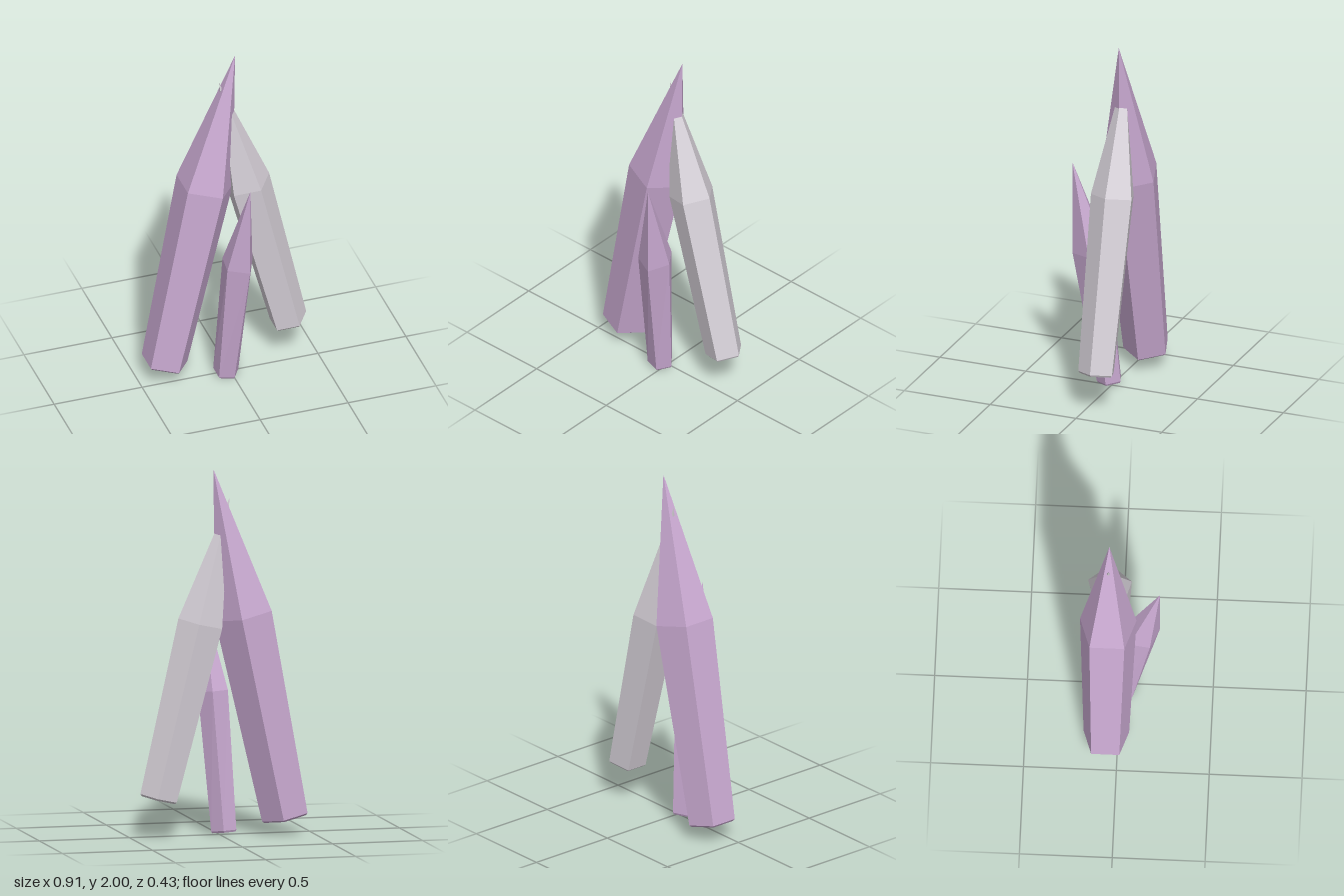
import * as THREE from 'three';

const SIDES = 5;

// Regular pentagon as [x, z] corners around a centre
function pentagon(cx, cz, r, phase) {
  return Array.from({ length: SIDES }, (_, i) => {
    const a = phase + (i / SIDES) * Math.PI * 2;
    return [cx + r * Math.cos(a), cz + r * Math.sin(a)];
  });
}

function centreOf(points, y) {
  const c = new THREE.Vector3(0, y, 0);
  for (const [x, z] of points) {
    c.x += x / SIDES;
    c.z += z / SIDES;
  }
  return c;
}

// Leaning crystal: chamfered foot, tapered shaft and pointed tip.
// Both rings are tilted square to the shaft's axis.
function crystalGeometry(foot, footY, shoulder, shoulderY, tip) {
  const c0 = centreOf(foot, footY);
  const c1 = centreOf(shoulder, shoulderY);
  const axis = c1.clone().sub(c0).normalize();
  const tilt = (points, c) => points.map(([x, z]) => new THREE.Vector3(
    x, c.y - (axis.x * (x - c.x) + axis.z * (z - c.z)) / axis.y, z));

  const footRing = tilt(foot, c0);
  const chamfer = footRing.map((p) => p.clone().lerp(c0, 0.09).addScaledVector(axis, -0.01));
  const bottom = c0.clone().addScaledVector(axis, -0.01);
  const layers = [
    Array(SIDES).fill(bottom), chamfer, footRing, tilt(shoulder, c1),
    Array(SIDES).fill(new THREE.Vector3(...tip)),
  ];

  const positions = [];
  const last = layers.length - 2;
  for (let k = 0; k <= last; k++) {
    for (let i = 0; i < SIDES; i++) {
      const j = (i + 1) % SIDES;
      const [p, q] = [layers[k], layers[k + 1]];
      if (k > 0) for (const v of [p[i], q[i], p[j]]) positions.push(v.x, v.y, v.z);
      if (k < last) for (const v of [p[j], q[i], q[j]]) positions.push(v.x, v.y, v.z);
    }
  }
  const geometry = new THREE.BufferGeometry();
  geometry.setAttribute('position', new THREE.Float32BufferAttribute(positions, 3));
  geometry.computeVertexNormals();
  return geometry;
}

export function createModel() {
  const group = new THREE.Group();
  group.name = 'crystalCluster';

  const purple = new THREE.MeshStandardMaterial({ color: 0xc9a9d1 });
  purple.name = 'lilac crystal';
  const grey = new THREE.MeshStandardMaterial({ color: 0xd6d0d8 });
  grey.name = 'pale grey crystal';

  const add = (name, material, ...shape) => {
    const mesh = new THREE.Mesh(crystalGeometry(...shape), material);
    mesh.name = name;
    group.add(mesh);
  };

  // Tall crystal leaning from the right
  add('tallCrystal', purple,
    pentagon(-0.35, -0.062, 0.129, 0), 0.1,
    pentagon(-0.121, -0.062, 0.16, 0), 1.203, [0.05, 2, -0.062]);

  // Grey crystal leaning from the left, its point passing through the tall one
  add('greyCrystal', grey,
    pentagon(0.352, -0.063, 0.103, 0), 0.222,
    pentagon(0.12, -0.063, 0.124, 0), 1.163, [-0.04, 1.84, -0.063]);

  // Small crystal in front, leaning forwards
  add('smallCrystal', purple,
    pentagon(-0.03, 0.022, 0.071, 1.2), 0.021,
    [[0.042, 0.21], [-0.07, 0.161], [-0.06, 0.05], [0.035, 0.01], [0.095, 0.095]], 0.77,
    [0.044, 1.29, 0.211]);

  return group;
}
